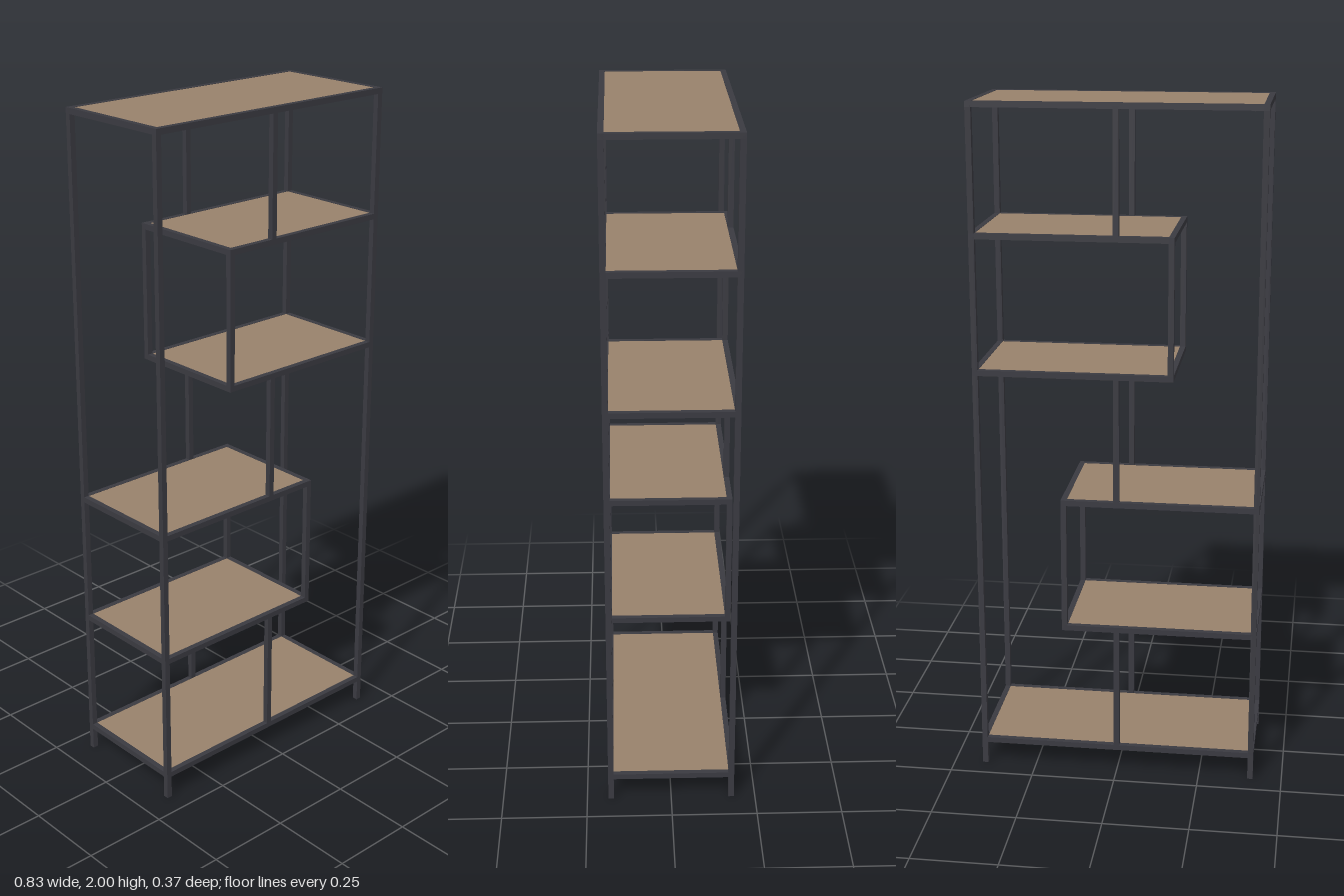
import * as THREE from 'three';

const T = 0.0165;            // square tube thickness
const X = 0.406, Z = 0.179;  // centre lines of the outer posts
const INNER = 0.155;         // free end of the short shelves

export function createModel() {
  const root = new THREE.Group();
  root.name = 'shelvingUnit';
  const metal = new THREE.MeshStandardMaterial({ color: 0x3a3a41 });
  metal.name = 'dark metal';
  const wood = new THREE.MeshStandardMaterial({ color: 0x98826b });
  wood.name = 'wood';

  const box = (parent, name, mat, w, h, d, x, y, z) => {
    const m = new THREE.Mesh(new THREE.BoxGeometry(w, h, d), mat);
    m.name = name;
    m.position.set(x, y, z);
    parent.add(m);
  };

  // Front and back pair of uprights at x
  const posts = (name, x, y0, y1) => {
    for (const s of [-1, 1]) box(root, name, metal, T, y1 - y0, T, x, (y0 + y1) / 2, s * Z);
  };

  // Framed shelf between two centre lines, with small fixing pads below
  const padGeo = new THREE.CylinderGeometry(0.011, 0.011, 0.008, 12);
  const shelf = (name, x0, x1, y, middlePads) => {
    const g = new THREE.Group();
    g.name = name;
    g.position.set((x0 + x1) / 2, y, 0);
    root.add(g);
    const w = x1 - x0;
    for (const s of [-1, 1]) {
      box(g, 'sideRail', metal, T, T, 2 * Z + T, s * w / 2, 0, 0);
      box(g, 'longRail', metal, w - T, T, T, 0, 0, s * Z);
    }
    box(g, 'shelfPanel', wood, w - T, 0.012, 2 * Z - T, 0, 0.0015, 0);
    const px = w / 2 - 0.033;
    for (const x of middlePads ? [-px, 0, px] : [-px, px]) {
      for (const s of [-1, 1]) {
        const pad = new THREE.Mesh(padGeo, metal);
        pad.name = 'fixingPad';
        pad.position.set(x, -0.0085, s * (Z - 0.034));
        g.add(pad);
      }
    }
  };

  const levels = [0.077, 0.463, 0.855, 1.237, 1.63, 2 - T / 2];
  shelf('bottomShelf', -X, X, levels[0], true);
  shelf('lowerLeftShelf', -X, INNER, levels[1], false);
  shelf('middleLeftShelf', -X, INNER, levels[2], false);
  shelf('middleRightShelf', -INNER, X, levels[3], false);
  shelf('upperRightShelf', -INNER, X, levels[4], false);
  shelf('topShelf', -X, X, levels[5], true);

  // Full-height corner posts
  for (const s of [-1, 1]) posts('cornerPost', s * X, 0, 2);

  // Short uprights closing the free ends of the two boxes
  posts('lowerBoxPost', INNER, levels[1], levels[2]);
  posts('upperBoxPost', -INNER, levels[3], levels[4]);

  // Central uprights linking the boxes to each other and to top and bottom
  for (const i of [0, 2, 4]) posts('centrePost', 0, levels[i], levels[i + 1]);

  return root;
}
